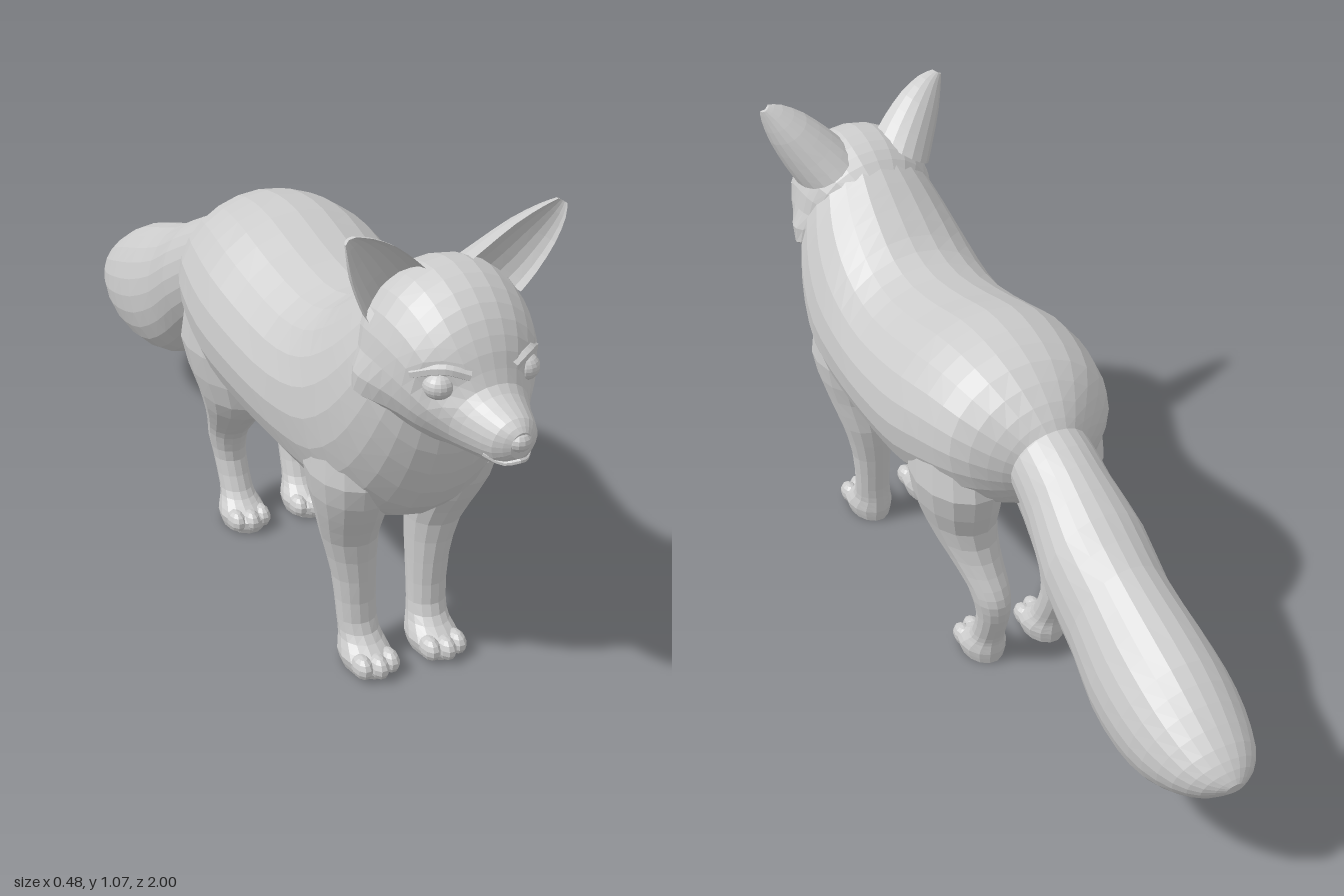
import * as THREE from 'three';

const material = new THREE.MeshStandardMaterial({ color: 0xcccccc, flatShading: true });
const doubleSided = new THREE.MeshStandardMaterial({ color: 0xcccccc, flatShading: true, side: THREE.DoubleSide });
const V = (x, y, z) => new THREE.Vector3(x, y, z);

// Catmull-Rom interpolation of rows of section parameters
function refine(rows, steps) {
  const out = [], row = i => rows[Math.max(0, Math.min(rows.length - 1, i))];
  for (let i = 0; i < rows.length - 1; i++) {
    for (let k = 0; k < steps; k++) {
      const t = k / steps;
      out.push(rows[0].map((_, c) => {
        const [p, q, r, s] = [row(i - 1)[c], row(i)[c], row(i + 1)[c], row(i + 2)[c]];
        return q + 0.5 * t * (r - p + t * (2 * p - 5 * q + 4 * r - s + t * (3 * (q - r) + s - p)));
      }));
    }
  }
  out.push(rows[rows.length - 1]);
  return out;
}

// Skin over closed rings with capped ends, always facing outward
function loft(rings) {
  const n = rings[0].length, pts = rings.flat(), idx = [];
  for (let i = 0; i < rings.length - 1; i++) {
    for (let j = 0; j < n; j++) {
      const a = i * n + j, b = i * n + (j + 1) % n;
      idx.push(a, b, a + n, b, b + n, a + n);
    }
  }
  [0, rings.length - 1].forEach((r, end) => {
    const c = pts.length;
    pts.push(rings[r].reduce((s, p) => s.add(p), V(0, 0, 0)).divideScalar(n));
    for (let j = 0; j < n; j++) {
      const a = r * n + j, b = r * n + (j + 1) % n;
      idx.push(...(end ? [a, b, c] : [b, a, c]));
    }
  });
  let volume = 0;
  for (let i = 0; i < idx.length; i += 3) {
    volume += pts[idx[i]].dot(V(0, 0, 0).crossVectors(pts[idx[i + 1]], pts[idx[i + 2]]));
  }
  if (volume < 0) idx.reverse();
  const geometry = new THREE.BufferGeometry().setFromPoints(pts);
  geometry.setIndex(idx);
  geometry.computeVertexNormals();
  return geometry;
}

const ring = (n, f) => Array.from({ length: n }, (_, j) => f((j / n) * Math.PI * 2));

// Rows: top z, top y, bottom z, bottom y, half width
const spineLoft = (rows, warp = p => p) => loft(refine(rows, 2).map(([zt, yt, zb, yb, w]) =>
  ring(24, a => {
    const t = (1 - Math.cos(a)) / 2;
    return warp(V(w * Math.sin(a), yt + (yb - yt) * t, zt + (zb - zt) * t));
  })));

// Rows: y, x, z, radius x, radius z
const legLoft = (rows, side) => loft(refine(rows, 2).map(([y, x, z, rx, rz]) =>
  ring(14, a => V(side * (x + rx * Math.cos(a)), y, z + rz * Math.sin(a)))));

const BODY = [
  [-0.27, 0.70, -0.22, 0.50, 0.09], [-0.23, 0.745, -0.195, 0.475, 0.135],
  [-0.15, 0.80, -0.16, 0.455, 0.195], [-0.05, 0.825, -0.07, 0.42, 0.225],
  [0.05, 0.825, 0.05, 0.38, 0.24], [0.16, 0.80, 0.17, 0.365, 0.236],
  [0.30, 0.778, 0.30, 0.355, 0.226], [0.40, 0.795, 0.44, 0.35, 0.22],
  [0.47, 0.84, 0.58, 0.36, 0.215], [0.53, 0.885, 0.68, 0.43, 0.20],
  [0.57, 0.915, 0.745, 0.54, 0.18], [0.61, 0.94, 0.77, 0.64, 0.155], [0.65, 0.94, 0.75, 0.69, 0.12],
];
const HEAD = [
  [0.99, 0.752, 0.982, 0.695, 0.022], [0.97, 0.772, 0.955, 0.668, 0.048],
  [0.93, 0.785, 0.90, 0.655, 0.066], [0.895, 0.805, 0.85, 0.648, 0.085],
  [0.872, 0.86, 0.81, 0.643, 0.115], [0.84, 0.912, 0.79, 0.638, 0.137],
  [0.79, 0.955, 0.76, 0.635, 0.152], [0.72, 0.978, 0.72, 0.64, 0.163],
  [0.65, 0.968, 0.69, 0.655, 0.163], [0.60, 0.94, 0.66, 0.68, 0.145], [0.56, 0.90, 0.62, 0.72, 0.10],
];
const TAIL = [
  [-0.17, 0.72, -0.15, 0.52, 0.08], [-0.27, 0.70, -0.235, 0.50, 0.095],
  [-0.36, 0.665, -0.31, 0.43, 0.10], [-0.47, 0.61, -0.42, 0.335, 0.12],
  [-0.58, 0.55, -0.52, 0.25, 0.117], [-0.70, 0.505, -0.61, 0.185, 0.128],
  [-0.80, 0.465, -0.72, 0.16, 0.13], [-0.88, 0.42, -0.81, 0.17, 0.12],
  [-0.95, 0.37, -0.89, 0.205, 0.095], [-0.985, 0.335, -0.95, 0.24, 0.06], [-1, 0.31, -0.99, 0.28, 0.02],
];
const FRONT_LEG = [
  [0.60, 0.12, 0.53, 0.07, 0.10], [0.48, 0.12, 0.54, 0.085, 0.115], [0.38, 0.109, 0.528, 0.074, 0.085],
  [0.30, 0.098, 0.506, 0.061, 0.063], [0.20, 0.087, 0.507, 0.047, 0.048], [0.10, 0.083, 0.516, 0.043, 0.04],
  [0.06, 0.08, 0.53, 0.046, 0.052], [0.03, 0.08, 0.553, 0.055, 0.075], [0, 0.08, 0.553, 0.046, 0.068],
];
const HIND_LEG = [
  [0.64, 0.12, -0.03, 0.085, 0.12], [0.50, 0.125, -0.045, 0.098, 0.14], [0.38, 0.113, -0.03, 0.08, 0.11],
  [0.30, 0.102, -0.075, 0.06, 0.075], [0.24, 0.092, -0.122, 0.048, 0.057], [0.20, 0.088, -0.14, 0.043, 0.052],
  [0.15, 0.083, -0.14, 0.038, 0.042], [0.08, 0.08, -0.112, 0.038, 0.04], [0.055, 0.08, -0.095, 0.044, 0.05],
  [0.03, 0.08, -0.075, 0.054, 0.07], [0, 0.08, -0.075, 0.046, 0.063],
];
// Rows: centre x, y, rim z, half width, depth
const EAR = [
  [0.10, 0.915, 0.70, 0.074, 0.10], [0.13, 0.955, 0.715, 0.067, 0.085],
  [0.17, 1.008, 0.73, 0.052, 0.062], [0.203, 1.048, 0.738, 0.03, 0.036], [0.222, 1.066, 0.735, 0.012, 0.015],
];

// Flares the cheek ruff and presses in the eye sockets
function shapeFace(p) {
  const bump = (v, c, s) => Math.exp(-(((v - c) / s) ** 2));
  p.x *= 1 + 0.32 * bump(p.y, 0.735, 0.045) * bump(p.z, 0.665, 0.07);
  const socket = bump(Math.abs(p.x), 0.095, 0.04) * bump(p.y, 0.797, 0.03) * bump(p.z, 0.845, 0.05);
  p.x *= 1 - 0.1 * socket;
  p.z -= 0.012 * socket;
  return p;
}

export function createModel() {
  const model = new THREE.Group();
  const add = (name, geometry, mat = material) => {
    const mesh = new THREE.Mesh(geometry, mat);
    mesh.name = name;
    model.add(mesh);
    return mesh;
  };
  const blob = (name, pos, size, w = 12, h = 8) => {
    const mesh = add(name, new THREE.SphereGeometry(1, w, h));
    mesh.position.set(...pos);
    mesh.scale.set(...size);
    return mesh;
  };
  const tube = (name, points, r) =>
    add(name, new THREE.TubeGeometry(new THREE.CatmullRomCurve3(points.map(p => V(...p))), 10, r, 6));

  add('body', spineLoft(BODY));
  add('head', spineLoft(HEAD, shapeFace));
  add('tail', spineLoft(TAIL));

  // Nose and mouth
  blob('nose', [0, 0.73, 0.978], [0.024, 0.021, 0.022]);
  tube('mouth', [[-0.05, 0.695, 0.938], [-0.025, 0.683, 0.966], [0, 0.69, 0.983], [0.025, 0.683, 0.966], [0.05, 0.695, 0.938]], 0.005);

  for (const [side, label] of [[1, 'left'], [-1, 'right']]) {
    // Eye and brow ridge
    blob(label + 'Eye', [side * 0.09, 0.797, 0.838], [0.031, 0.027, 0.031], 16, 12);
    tube(label + 'Brow', [[side * 0.045, 0.822, 0.874], [side * 0.088, 0.834, 0.852], [side * 0.13, 0.814, 0.804]], 0.011);

    // Cupped ear: convex back, hollow front
    add(label + 'Ear', loft(refine(EAR, 2).map(([x, y, z, w, d]) => ring(18, a => {
      const s = Math.sin(a), u = w * Math.cos(a);
      return V(side * (x + 0.85 * u), y - 0.53 * u, z - d * (s > 0 ? s : -0.55 * s));
    }))), doubleSided);

    // Legs with toes
    for (const [name, rows, toeZ] of [['FrontLeg', FRONT_LEG, 0.612], ['HindLeg', HIND_LEG, -0.03]]) {
      add(label + name, legLoft(rows, side));
      for (const i of [-1, 0, 1]) {
        blob(label + name + 'Toe', [side * (0.08 + i * 0.031), 0.026, toeZ - Math.abs(i) * 0.012], [0.021, 0.026, 0.033], 10, 7);
      }
    }
  }
  return model;
}
